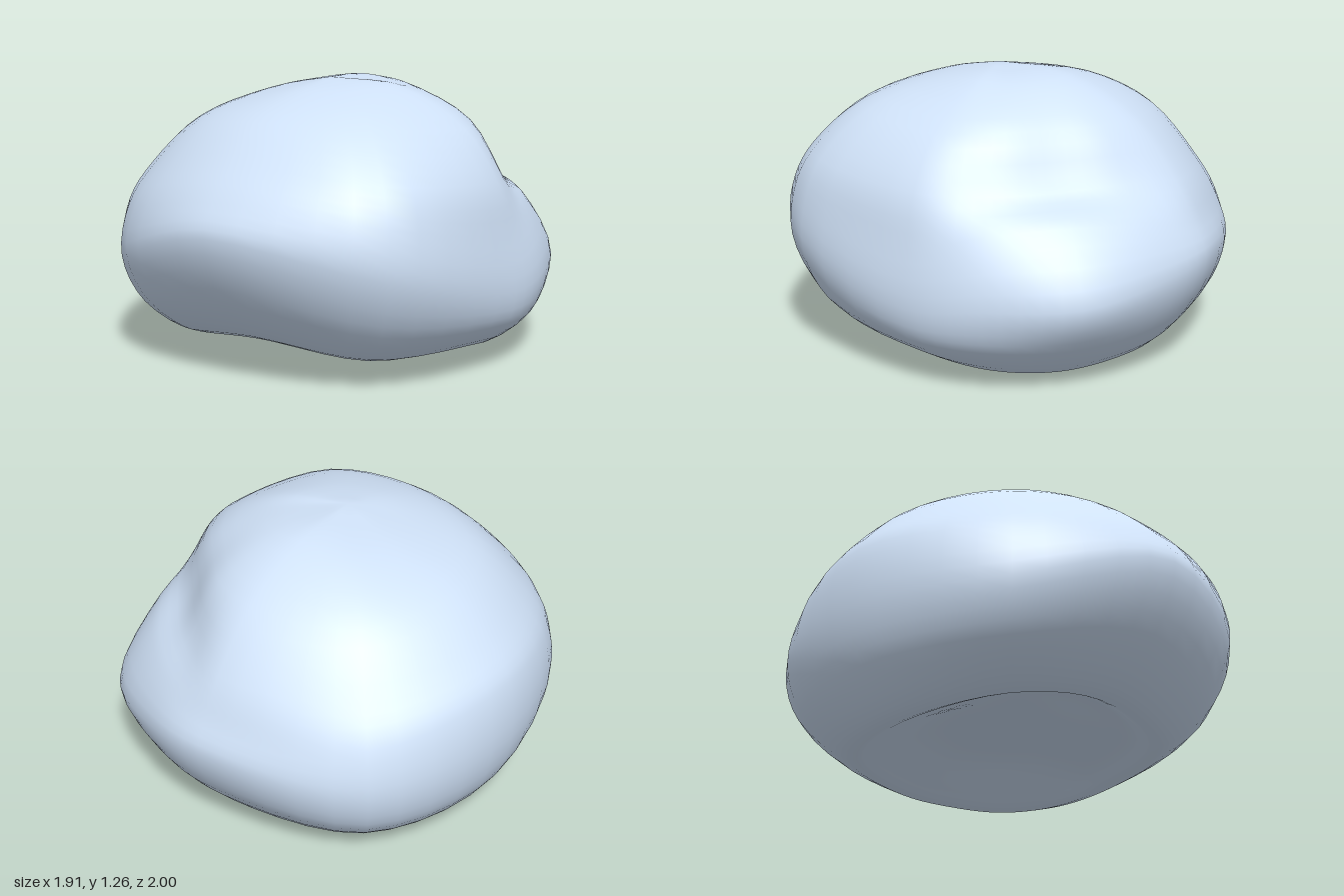
import * as THREE from 'three';

// Side profiles by angle in degrees from +x towards +z: [radius, height] from upper dome to bottom rim
const PROFILES = [
  [0, [[0.35, 1.23], [0.69, 1.06], [0.85, 0.84], [0.91, 0.62], [0.95, 0.36], [0.91, 0.21], [0.71, 0.08]]],
  [45, [[0.35, 1.22], [0.71, 1.1], [0.94, 0.9], [1.02, 0.74], [1.04, 0.52], [0.92, 0.26], [0.7, 0.1]]],
  [90, [[0.33, 1.21], [0.6, 1.11], [0.8, 0.95], [0.93, 0.81], [1.0, 0.67], [0.87, 0.37], [0.6, 0.15]]],
  [135, [[0.35, 1.18], [0.62, 1.07], [0.83, 0.87], [0.94, 0.7], [0.98, 0.46], [0.88, 0.24], [0.65, 0.09]]],
  [180, [[0.32, 1.19], [0.61, 1.07], [0.83, 0.87], [0.92, 0.74], [0.95, 0.46], [0.88, 0.21], [0.69, 0.02]]],
  [225, [[0.35, 1.2], [0.65, 1.05], [0.85, 0.82], [0.96, 0.65], [1.01, 0.43], [0.94, 0.21], [0.7, 0.02]]],
  [270, [[0.3, 1.235], [0.63, 1.07], [0.85, 0.82], [0.94, 0.65], [1.0, 0.5], [0.91, 0.25], [0.67, 0.02]]],
  [292, [[0.33, 1.23], [0.62, 1.07], [0.77, 0.84], [0.92, 0.69], [1.02, 0.47], [0.92, 0.22], [0.66, 0.01]]],
  [315, [[0.35, 1.22], [0.59, 1.07], [0.73, 0.83], [0.89, 0.72], [1.06, 0.42], [0.94, 0.2], [0.66, 0]]],
  [338, [[0.35, 1.22], [0.64, 1.07], [0.78, 0.83], [0.9, 0.69], [1.0, 0.4], [0.94, 0.2], [0.67, 0.02]]],
];
const APEX = new THREE.Vector3(0.03, 1.26, 0.06);
const HOLLOW = new THREE.Vector3(0.02, 0.17, -0.05);
const AROUND = 50;
const DOWN = 40;

function createStoneGeometry() {
  // Continue each profile over the rim into the shallow hollow underneath
  const profiles = PROFILES.map(([degrees, p]) => {
    const [r, y] = p[p.length - 1];
    const a = THREE.MathUtils.degToRad(degrees);
    return [...p, [r * 0.82, y + 0.04], [r * 0.5, 0.15]].map(([radius, height]) =>
      new THREE.Vector3(radius * Math.cos(a), height, radius * Math.sin(a)));
  });

  // One smooth closed ring for every level
  const rings = profiles[0].map((_, level) =>
    new THREE.CatmullRomCurve3(profiles.map((p) => p[level]), true));

  // Meridian curves through the rings, from apex to the middle of the hollow
  const meridians = Array.from({ length: AROUND }, (_, i) => new THREE.CatmullRomCurve3(
    [APEX, ...rings.map((ring) => ring.getPoint(i / AROUND)), HOLLOW]));

  const positions = [...APEX.toArray()];
  for (let j = 1; j < DOWN; j++) {
    for (const m of meridians) positions.push(...m.getPoint(j / DOWN).toArray());
  }
  positions.push(...HOLLOW.toArray());
  const last = positions.length / 3 - 1;

  // Skin with shared vertices, closed by a fan at both ends
  const index = [];
  const at = (j, i) => 1 + (j - 1) * AROUND + (i % AROUND);
  for (let i = 0; i < AROUND; i++) {
    index.push(0, at(1, i + 1), at(1, i));
    for (let j = 1; j < DOWN - 1; j++) {
      index.push(at(j, i), at(j, i + 1), at(j + 1, i));
      index.push(at(j, i + 1), at(j + 1, i + 1), at(j + 1, i));
    }
    index.push(at(DOWN - 1, i), at(DOWN - 1, i + 1), last);
  }

  const geometry = new THREE.BufferGeometry();
  geometry.setAttribute('position', new THREE.Float32BufferAttribute(positions, 3));
  geometry.setIndex(index);
  geometry.computeVertexNormals();
  return geometry;
}

export function createModel() {
  const group = new THREE.Group();
  group.name = 'boulder';
  const stone = new THREE.Mesh(
    createStoneGeometry(),
    new THREE.MeshStandardMaterial({ color: 0xd0e2f8 }));
  stone.name = 'stone';
  group.add(stone);
  return group;
}
